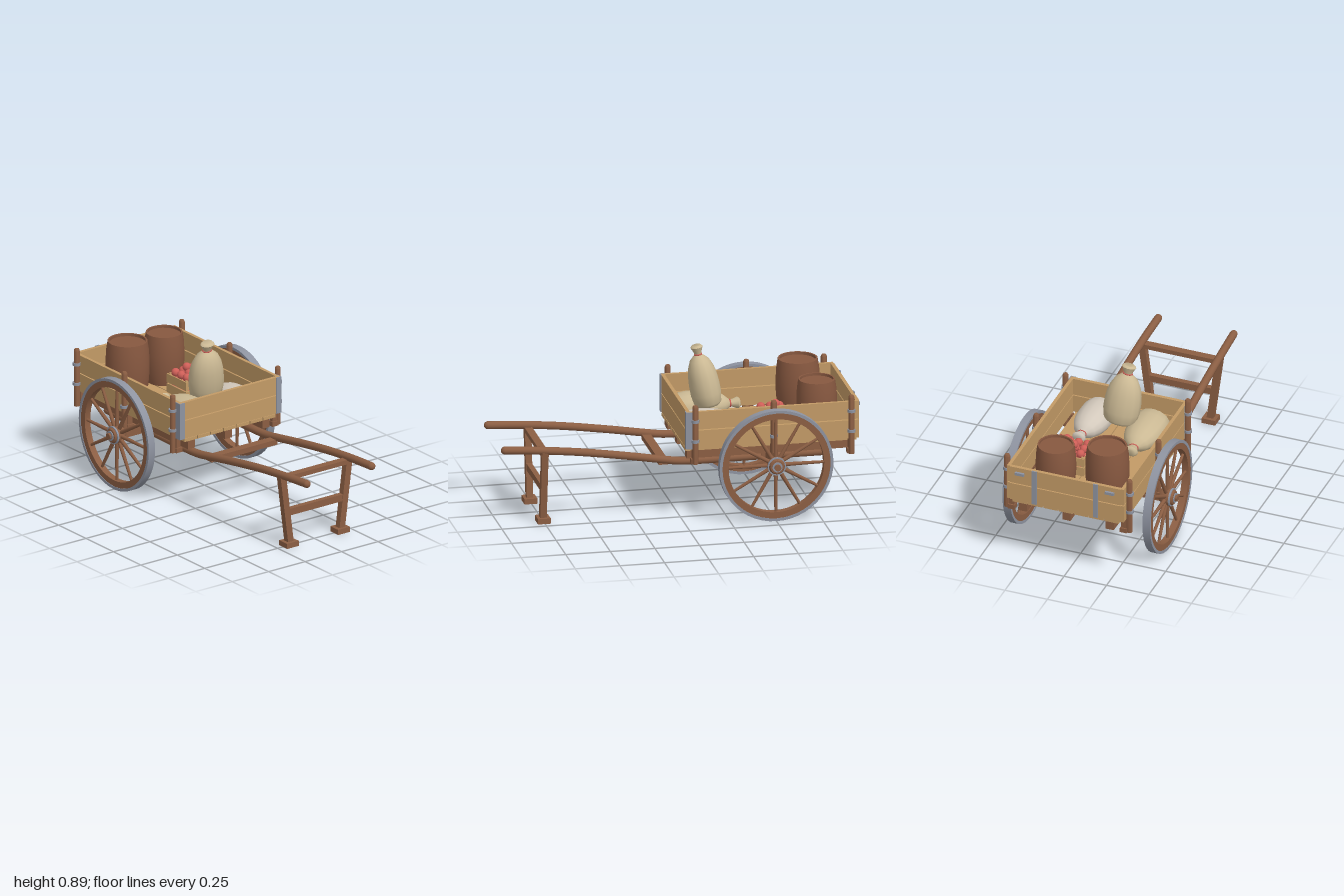
import * as THREE from 'three';
import { toCreasedNormals } from 'three/addons/utils/BufferGeometryUtils.js';

const mat = (name, color) => Object.assign(new THREE.MeshStandardMaterial({ color }), { name });
const M = {
  plank: mat('light planks', 0xc29a66),
  wood: mat('brown wood', 0x8b5e43),
  barrel: mat('barrel wood', 0x875840),
  iron: mat('iron', 0x8e93a0),
  sack: mat('sackcloth', 0xcbb994),
  pale: mat('pale sackcloth', 0xd3c9bc),
  apple: mat('red', 0xcf5f58),
};
const V = (x, y, z) => new THREE.Vector3(x, y, z);

function add(parent, name, geo, material, x = 0, y = 0, z = 0) {
  const m = new THREE.Mesh(geo, material);
  m.name = name;
  m.position.set(x, y, z);
  parent.add(m);
  return m;
}

// Box given by its min and max on each axis
function box(parent, name, material, x0, x1, y0, y1, z0, z1) {
  return add(parent, name, new THREE.BoxGeometry(Math.abs(x1 - x0), y1 - y0, z1 - z0), material,
    (x0 + x1) / 2, (y0 + y1) / 2, (z0 + z1) / 2);
}

function lathe(points, segments, crease = 0.7) {
  const pts = points.map(([r, y]) => new THREE.Vector2(r, y));
  return toCreasedNormals(new THREE.LatheGeometry(pts, segments), crease);
}

const ring = (ri, ro, w) => lathe([[ri, -w], [ro, -w], [ro, w], [ri, w], [ri, -w]], 48);

// Wheel with its axle along local x, outside towards +x
function makeWheel() {
  const g = new THREE.Group();
  g.name = 'wheel';
  const turned = (name, geo, m, x = 0) => add(g, name, geo.rotateZ(-Math.PI / 2), m, x);
  turned('ironTyre', ring(0.303, 0.319, 0.022), M.iron);
  turned('rim', ring(0.268, 0.305, 0.019), M.wood);
  turned('hub', lathe([[0, -0.042], [0.03, -0.042], [0.046, -0.02], [0.05, 0], [0.047, 0.028],
    [0.038, 0.043], [0.018, 0.045], [0.018, 0.062], [0, 0.062]], 20), M.wood);
  turned('hubBand', ring(0.03, 0.051, 0.005), M.iron, 0.027);
  turned('hubCap', ring(0.012, 0.028, 0.004), M.iron, 0.045);
  for (let i = 0; i < 12; i++) {
    const geo = new THREE.CylinderGeometry(0.008, 0.012, 0.25, 8).translate(0, 0.155, 0);
    add(g, 'spoke', geo, M.wood).rotation.x = (i * Math.PI) / 6;
  }
  return g;
}

// Filled sack standing on its local origin, tied at the neck
function makeSack(name, material, halfWidth, halfDepth, height) {
  const g = new THREE.Group();
  g.name = name;
  const profile = [[0, 0], [0.72, 0], [0.9, 0.05], [1, 0.2], [1, 0.36], [0.95, 0.5], [0.85, 0.62],
    [0.63, 0.75], [0.4, 0.81], [0.22, 0.85], [0.28, 0.9], [0.4, 0.97], [0.3, 1], [0, 0.96]];
  const body = add(g, 'sackBody', lathe(profile, 14, 0.9), material);
  body.scale.set(halfWidth, height, halfDepth);
  const tie = add(g, 'neckTie', new THREE.TorusGeometry(0.24, 0.04, 6, 16).rotateX(Math.PI / 2), M.apple, 0, height * 0.85);
  tie.scale.set(halfWidth, halfWidth, halfDepth);
  return g;
}

function makeBarrel(parent, x, z, r, top) {
  const h = top - 0.42;
  const pts = [[0, 0], [0.86, 0], [0.95, 0.2], [1, 0.45], [1, 0.6], [0.97, 0.82], [0.9, 1], [0.82, 1], [0.82, 0.95], [0, 0.95]];
  add(parent, 'barrel', lathe(pts.map(([a, b]) => [a * r, b * h]), 24, 0.5), M.barrel, x, 0.42, z);
}

export function createModel() {
  const cart = new THREE.Group();
  cart.name = 'handCart';

  // Floor planks and the beams beneath
  for (let i = -3; i <= 3; i++)
    box(cart, 'floorPlank', M.plank, i * 0.09 - 0.042, i * 0.09 + 0.042, 0.4, 0.418, -0.975, -0.015);
  for (const x of [-0.255, 0, 0.255])
    box(cart, 'floorBeam', M.wood, x - 0.024, x + 0.024, 0.345, 0.399, -0.965, -0.03);
  box(cart, 'axle', M.wood, -0.39, 0.39, 0.295, 0.345, -0.525, -0.475);

  // Two boards high on every side
  for (const [y0, y1] of [[0.42, 0.524], [0.53, 0.632]]) {
    box(cart, 'frontBoard', M.plank, -0.325, 0.325, y0, y1, -0.036, -0.016);
    box(cart, 'tailBoard', M.plank, -0.325, 0.325, y0, y1, -0.985, -0.965);
    for (const s of [-1, 1])
      box(cart, 'sideBoard', M.plank, s * 0.325, s * 0.344, y0, y1, -0.98, -0.016);
  }

  for (const s of [-1, 1]) {
    // Corner irons, tailboard straps and latches
    box(cart, 'cornerIron', M.iron, s * 0.314, s * 0.347, 0.42, 0.632, -0.017, -0.011);
    box(cart, 'cornerIron', M.iron, s * 0.343, s * 0.348, 0.42, 0.632, -0.068, -0.011);
    box(cart, 'tailStrap', M.iron, s * 0.18 - 0.014, s * 0.18 + 0.014, 0.42, 0.634, -0.991, -0.984);
    box(cart, 'tailLatch', M.iron, s * 0.265 - 0.026, s * 0.265 + 0.026, 0.59, 0.606, -0.999, -0.984);

    // Stakes held by iron clips
    for (const z of [-0.06, -0.5, -0.935]) {
      add(cart, 'stake', lathe([[0, 0.338], [0.017, 0.338], [0.017, 0.663], [0.012, 0.674], [0, 0.674]], 10), M.wood, s * 0.36, 0, z);
      box(cart, 'stakeFoot', M.wood, s * 0.31, s * 0.35, 0.335, 0.362, z - 0.02, z + 0.02);
      box(cart, 'stakeFootPost', M.wood, s * 0.315, s * 0.345, 0.36, 0.42, z - 0.012, z + 0.012);
      for (const y of [0.47, 0.585])
        add(cart, 'stakeClip', new THREE.CylinderGeometry(0.022, 0.022, 0.016, 12), M.iron, s * 0.362, y, z);
    }

    // Curved shaft with rounded handle
    const path = new THREE.CatmullRomCurve3([V(0.235, 0.318, -0.82), V(0.235, 0.318, -0.4), V(0.235, 0.32, 0),
      V(0.234, 0.335, 0.1), V(0.232, 0.372, 0.32), V(0.229, 0.41, 0.58), V(0.226, 0.432, 0.8), V(0.222, 0.444, 0.978)]
      .map((p) => p.setX(p.x * s)));
    add(cart, 'shaft', new THREE.TubeGeometry(path, 40, 0.022, 12), M.wood);
    for (const [x, y, z] of [[0.235, 0.318, -0.82], [0.222, 0.444, 0.978]])
      add(cart, 'shaftEnd', new THREE.SphereGeometry(0.022, 12, 8), M.wood, s * x, y, z);
    box(cart, 'axleBlock', M.wood, s * 0.21, s * 0.265, 0.305, 0.35, -0.545, -0.455);

    // Sloping prop leg and its foot
    const a = V(s * 0.175, 0.02, 0.755), b = V(s * 0.228, 0.425, 0.755);
    const leg = add(cart, 'propLeg', new THREE.BoxGeometry(0.038, a.distanceTo(b), 0.036), M.wood);
    leg.position.copy(a).lerp(b, 0.5);
    leg.quaternion.setFromUnitVectors(V(0, 1, 0), b.clone().sub(a).normalize());
    box(cart, 'propFoot', M.wood, s * 0.135, s * 0.215, 0, 0.03, 0.718, 0.79);

    const wheel = makeWheel();
    wheel.position.set(s * 0.412, 0.319, -0.5);
    if (s < 0) wheel.rotation.y = Math.PI;
    cart.add(wheel);
  }

  // Rails between the shafts and prop legs
  box(cart, 'shaftRail', M.wood, -0.225, 0.225, 0.3, 0.33, 0.065, 0.115);
  box(cart, 'propTopRail', M.wood, -0.235, 0.235, 0.394, 0.42, 0.732, 0.775);
  box(cart, 'propLowRail', M.wood, -0.2, 0.2, 0.183, 0.222, 0.74, 0.77);

  // Barrels
  makeBarrel(cart, -0.155, -0.745, 0.122, 0.735);
  makeBarrel(cart, 0.13, -0.79, 0.112, 0.705);

  // Crate of apples
  const crate = new THREE.Group();
  crate.name = 'appleCrate';
  crate.position.set(0.14, 0.42, -0.543);
  cart.add(crate);
  box(crate, 'crateBottom', M.plank, -0.108, 0.108, 0, 0.012, -0.085, 0.085);
  for (const s of [-1, 1]) {
    for (const y of [0.005, 0.062]) {
      box(crate, 'crateSide', M.plank, s * 0.104, s * 0.112, y, y + 0.05, -0.088, 0.088);
      box(crate, 'crateEnd', M.plank, -0.112, 0.112, y, y + 0.05, s * 0.084 - 0.004, s * 0.084 + 0.004);
    }
    for (const t of [-1, 1])
      box(crate, 'cratePost', M.plank, s * 0.092, s * 0.105, 0, 0.116, t * 0.074 - 0.006, t * 0.074 + 0.006);
  }
  const apple = new THREE.SphereGeometry(0.024, 12, 8);
  for (let layer = 0; layer < 3; layer++)
    for (let i = 0; i < 4; i++)
      for (let j = 0; j < 3; j++)
        add(crate, 'apple', apple, M.apple, (i - 1.5) * 0.052, 0.036 + layer * 0.043, (j - 1) * 0.052);
  for (const [x, z] of [[-0.026, -0.02], [0.03, 0.022], [0.072, -0.026]])
    add(crate, 'topApple', apple, M.apple, x, 0.152, z);

  // Two sacks lying down and one resting upright on them
  const left = makeSack('lyingSack', M.sack, 0.108, 0.08, 0.37);
  left.position.set(-0.16, 0.498, -0.05);
  left.rotation.x = -Math.PI / 2;
  const right = makeSack('paleLyingSack', M.pale, 0.1, 0.08, 0.345);
  right.position.set(0.143, 0.498, -0.045);
  right.rotation.set(-Math.PI / 2, 0, -0.04);
  const top = makeSack('uprightSack', M.sack, 0.104, 0.085, 0.345);
  top.position.set(-0.018, 0.545, -0.215);
  top.rotation.set(0.18, 0, 0.1);
  cart.add(left, right, top);

  return cart;
}
